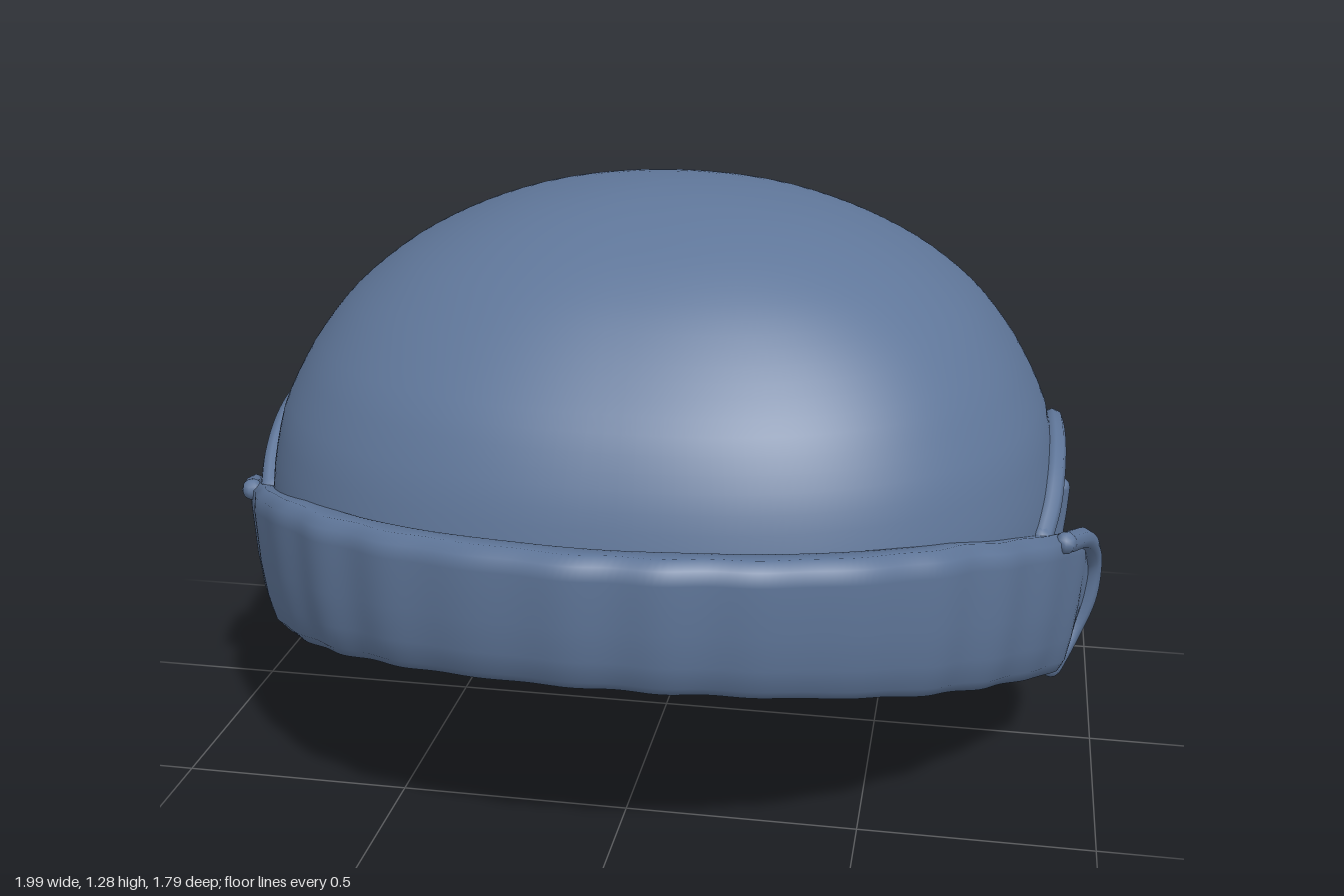
import * as THREE from 'three';

const TOP = 1.29;

// Dome half-sizes (front z, back z, side x) at even steps of sqrt(depth below the crown)
const profile = new THREE.CatmullRomCurve3([
  [0, 0, 0], [.14, .15, .16], [.27, .29, .32], [.39, .41, .46], [.5, .53, .59], [.6, .64, .7],
  [.695, .74, .785], [.755, .815, .85], [.785, .865, .88], [.785, .882, .885], [.77, .845, .86], [.73, .76, .79],
].map(p => new THREE.Vector3(...p)));

// Point on the dome at height y in direction a (0 = front)
function domePoint(a, y) {
  const r = profile.getPoint(Math.min(1, Math.sqrt(Math.max(0, TOP - y)) / 1.1));
  const c = Math.cos(a), s = Math.sin(a);
  const e = 2 / (2.22 + .13 * c);
  const pow = v => Math.sign(v) * Math.abs(v) ** e;
  // soft gathers low on the back
  const fold = c < 0 ? 1 + .005 * Math.sin(a * 30) * THREE.MathUtils.smoothstep(.85 - y, 0, .4) : 1;
  return [pow(s) * r.z * fold, y, pow(c) * (c > 0 ? r.x : r.y) * fold];
}

// Linear lookup in a table of [key, value], keys falling
function lookup(table, k) {
  if (k >= table[0][0]) return table[0][1];
  for (let i = 1; i < table.length; i++) {
    const [k0, v0] = table[i - 1], [k1, v1] = table[i];
    if (k >= k1) return v0 + (v1 - v0) * (k0 - k) / (k0 - k1);
  }
  return table[table.length - 1][1];
}

// Skin over rows of points, closed around each row
function skin(rows) {
  const n = rows[0].length, idx = [];
  for (let i = 0; i < rows.length - 1; i++) {
    for (let j = 0; j < n; j++) {
      const a = i * n + j, b = i * n + (j + 1) % n;
      idx.push(a, a + n, b, b, a + n, b + n);
    }
  }
  const g = new THREE.BufferGeometry();
  g.setAttribute('position', new THREE.Float32BufferAttribute(rows.flat(2), 3));
  g.setIndex(idx);
  g.computeVertexNormals();
  return g;
}

// Lower edge of the dome: inside the front cuff, over the ear, inside the back cuff
const rim = [[.79, .48], [.6, .45], [.45, .49], [.37, .56], [.3, .61], [.22, .665], [.14, .715], [.06, .745],
  [-.03, .757], [-.11, .75], [-.18, .725], [-.24, .68], [-.3, .61], [-.37, .58], [-.4, .3], [-.6, .28], [-.885, .24]];

// Follow a direction down the dome until it meets the rim
function rimHeight(a) {
  let y = .85;
  while (y > lookup(rim, domePoint(a, y)[2])) y -= .001;
  return y;
}

function domeGeometry() {
  const N = 240, M = 40, rows = [];
  const angles = Array.from({ length: N }, (_, j) => j / N * Math.PI * 2);
  const ends = angles.map(rimHeight);
  for (let i = 0; i <= M; i++) {
    const y = TOP - 1.07 * (i / M) ** 2;
    rows.push(angles.map((a, j) => domePoint(a, Math.max(y, ends[j]))));
  }
  return skin(rows);
}

// Turned-up cuff: a padded section swept along a mirrored path
const section = [[-.1, .9], [-.075, .98], [-.03, 1], [-.006, .95], [0, .85], [.004, .5], [.002, .25],
  [-.006, .08], [-.025, 0], [-.045, .03], [-.065, .25], [-.09, .6]];

function cuffGeometry({ half, top, bottom, inset, padding, pleats, depth }) {
  const left = half.slice(1).reverse().map(([x, z]) => [-x, z]);
  const path = new THREE.CatmullRomCurve3([...left, ...half].map(([x, z]) => new THREE.Vector3(x, 0, z)));
  const N = 200, rows = [], side = Math.sign(half[0][1]);
  for (let i = 0; i <= N; i++) {
    const p = path.getPointAt(i / N), t = path.getTangentAt(i / N);
    const e = THREE.MathUtils.smoothstep(Math.min(i, N - i) / N, 0, .16);
    // at the ends the section turns to lie straight across
    const n = new THREE.Vector3(-t.z * side, 0, t.x * side * e).normalize();
    const thick = padding * (.4 + .6 * e);
    const hi = lookup(top, p.z), lo = lookup(bottom, p.z);
    const ripple = depth * Math.sin(i / N * pleats * Math.PI * 2) * (.7 + .3 * Math.sin(i * .13));
    rows.push(section.map(([o, v]) => {
      const off = o * thick - inset * (1 - v) ** 1.4 + (o > -.04 ? ripple : 0);
      return [p.x + n.x * off, lo + (hi - lo) * v, p.z + n.z * off];
    }));
  }
  return skin(rows);
}

export function createModel() {
  const group = new THREE.Group();
  const blue = new THREE.MeshStandardMaterial({ color: 0x5f7699, side: THREE.DoubleSide });
  blue.name = 'slate blue';
  const add = (name, geometry) => {
    const m = new THREE.Mesh(geometry, blue);
    m.name = name;
    group.add(m);
    return m;
  };

  add('dome', domeGeometry());

  add('frontCuff', cuffGeometry({
    half: [[0, .89], [.2, .872], [.4, .818], [.6, .705], [.75, .55], [.865, .36], [.935, .18], [.975, .01]],
    top: [[.88, .755], [.6, .71], [.25, .615], [.12, .57], [.05, .5], [0, .43]],
    bottom: [[.89, .465], [.1, .23], [.05, .25], [0, .33]],
    inset: .03, padding: 1, pleats: 15, depth: .005,
  }));

  add('backCuff', cuffGeometry({
    half: [[0, -.895], [.2, -.875], [.4, -.815], [.6, -.705], [.75, -.575], [.845, -.46], [.915, -.38]],
    top: [[-.38, .5], [-.5, .44], [-.7, .39], [-.88, .335]],
    bottom: [[-.38, .06], [-.5, .04], [-.75, .02], [-.88, .01]],
    inset: .12, padding: .65, pleats: 13, depth: .009,
  }));

  // Piped edges, mirrored to both sides
  const piping = (name, pts, r) => {
    for (const s of [1, -1]) {
      const label = (s > 0 ? 'left' : 'right') + name;
      const curve = new THREE.CatmullRomCurve3(pts.map(([x, y, z]) => new THREE.Vector3(x * s, y, z)));
      add(label, new THREE.TubeGeometry(curve, 40, r, 8));
      for (const end of [0, 1]) {
        add(label + 'End', new THREE.SphereGeometry(r, 8, 6)).position.copy(curve.getPoint(end));
      }
    }
  };
  const earEdge = [];
  for (let a = .5; a < 2.5; a += .01) {
    const [x, y, z] = domePoint(a, rimHeight(a));
    const last = earEdge[earEdge.length - 1];
    if (z < .29 && z > -.33 && (!last || last[2] - z > .06)) earEdge.push([x + .008, y, z]);
  }
  piping('EarPiping', earEdge, .024);
  piping('FrontCuffPiping', [[.9, .605, .27], [.945, .56, .13], [.97, .47, .02], [.965, .37, .005],
    [.93, .28, .03], [.895, .24, .11]], .024);
  piping('BackCuffPiping', [[.905, .49, -.375], [.9, .4, -.385], [.88, .25, -.385], [.83, .12, -.39],
    [.79, .07, -.42], [.74, .05, -.5]], .024);

  // Small loose knots below the ears
  for (const s of [1, -1]) {
    const knot = add('knot', new THREE.TorusGeometry(.02, .015, 6, 10));
    knot.position.set(s * .84, .16, -.16);
    knot.rotation.y = Math.PI / 2;
  }
  return group;
}
